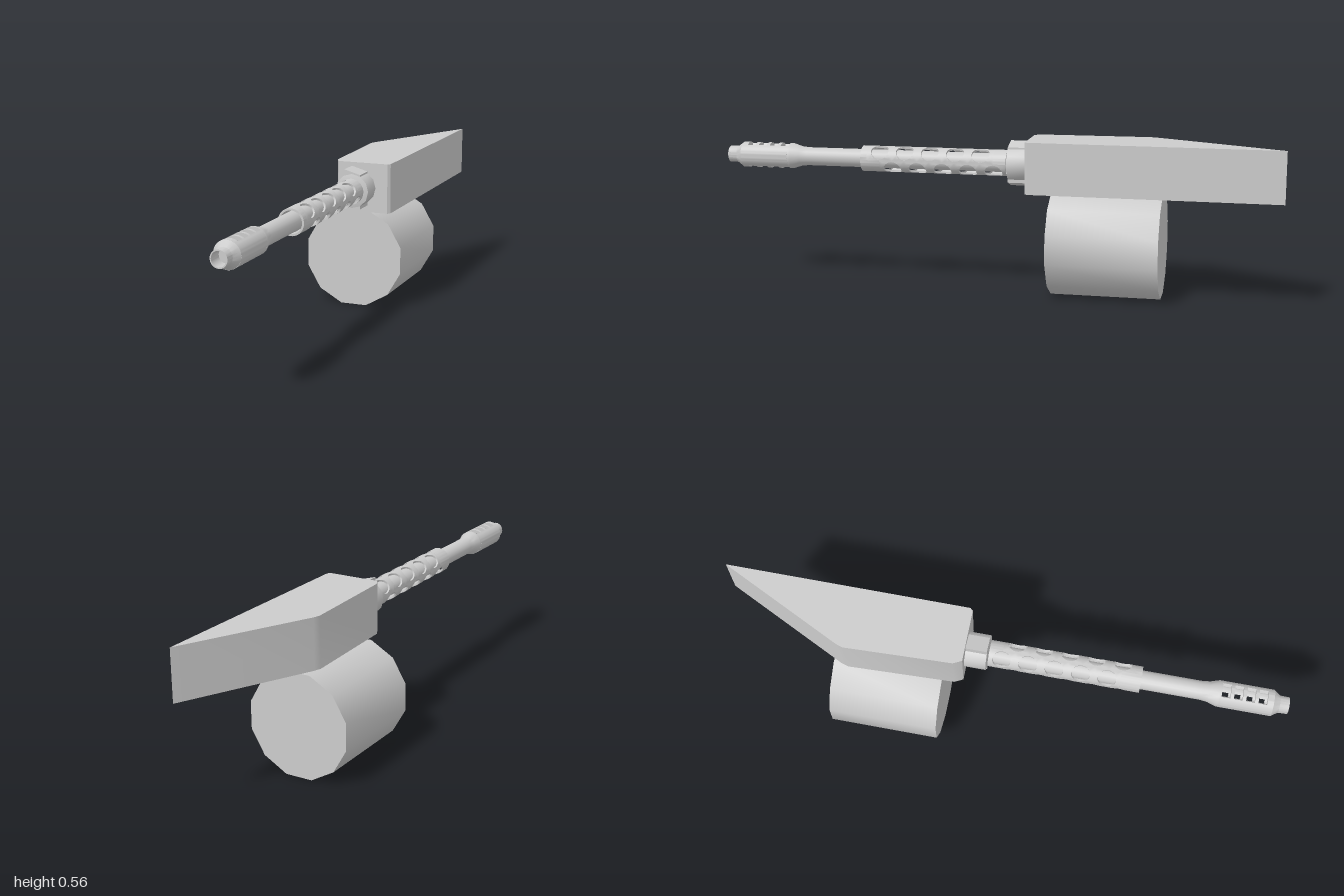
import * as THREE from 'three';
import { mergeGeometries, toCreasedNormals } from 'three/addons/utils/BufferGeometryUtils.js';

const AXIS_X = 0.051, AXIS_Y = 0.475;
const mat = new THREE.MeshStandardMaterial({ color: 0xcccccc, side: THREE.DoubleSide });

function add(parent, name, geometry, crease = 0.6) {
  const mesh = new THREE.Mesh(crease ? toCreasedNormals(geometry, crease) : geometry, mat);
  mesh.name = name;
  parent.add(mesh);
  return mesh;
}

// Solid of revolution along z from [radius, z] pairs
function turned(profile, sides) {
  const g = new THREE.LatheGeometry(profile.map(([r, z]) => new THREE.Vector2(r, z)), sides);
  return g.rotateX(Math.PI / 2);
}

// Piece of pipe wall spanning angles a0..a1 and z0..z1
function pipeSector(rIn, rOut, a0, a1, z0, z1) {
  const s = new THREE.Shape();
  s.absarc(0, 0, rOut, a0, a1, false);
  s.absarc(0, 0, rIn, a1, a0, true);
  s.closePath();
  const g = new THREE.ExtrudeGeometry(s, { depth: z1 - z0, bevelEnabled: false, curveSegments: 8 });
  return g.translate(0, 0, z0);
}

// Quarter-pipe panel with one round hole, wrapped on the shroud
function holedPanel(angle, zMid, pitch, rOut, rIn, holeR) {
  const n = 32, pos = [], index = [];
  const halfW = rOut * Math.PI / 4, halfL = pitch / 2;
  const put = (u, v, r) => {
    const a = angle + u / rOut;
    pos.push(r * Math.cos(a), r * Math.sin(a), zMid + v);
  };
  for (let i = 0; i <= n; i++) {
    const a = (i / n) * Math.PI * 2, c = Math.cos(a), s = Math.sin(a);
    const k = 1 / Math.max(Math.abs(c), Math.abs(s));
    const hu = holeR * c, hv = holeR * s, bu = halfW * k * c, bv = halfL * k * s;
    put(bu, bv, rOut);
    put((hu + bu) / 2, (hv + bv) / 2, rOut);
    put(hu, hv, rOut);
    put(hu, hv, rIn);
  }
  for (let i = 0; i < n; i++) {
    for (let j = 0; j < 3; j++) {
      const p = i * 4 + j, q = p + 4;
      index.push(p, q, p + 1, q, q + 1, p + 1);
    }
  }
  const g = new THREE.BufferGeometry();
  g.setAttribute('position', new THREE.Float32BufferAttribute(pos, 3));
  g.setIndex(index);
  return g.toNonIndexed();
}

export function createModel() {
  const model = new THREE.Group();

  // Wedge-shaped body, drawn from above as [x, z]
  const outline = [[-0.03, -0.12], [0.158, -0.12], [0.167, -0.13], [0.17, -1],
    [-0.05, -0.555], [-0.058, -0.53], [-0.045, -0.15]];
  const body = new THREE.Shape(outline.map(([x, z]) => new THREE.Vector2(x, -z)));
  add(model, 'body', new THREE.ExtrudeGeometry(body, { depth: 0.181, bevelEnabled: false })
    .rotateX(-Math.PI / 2).translate(0, 0.385, 0));

  // Twelve-sided drum below
  add(model, 'drum', new THREE.CylinderGeometry(0.191, 0.191, 0.39, 12)
    .rotateY(Math.PI / 12).rotateX(Math.PI / 2).translate(0, 0.193, -0.39), 0.7);

  const barrel = new THREE.Group();
  barrel.name = 'barrelAssembly';
  barrel.position.set(AXIS_X, AXIS_Y, 0);
  model.add(barrel);

  // Collar and slanted block between body and barrel
  add(barrel, 'collar', turned([[0, -0.13], [0.062, -0.13], [0.062, -0.045], [0.04, -0.04], [0, -0.04]], 12));
  const block = new THREE.Shape([[-0.029, -0.084], [0.031, -0.065], [0.031, 0.06], [-0.029, 0.077]]
    .map(([x, y]) => new THREE.Vector2(x, y)));
  add(barrel, 'mountBlock', new THREE.ExtrudeGeometry(block, { depth: 0.08, bevelEnabled: false })
    .translate(0, 0, -0.125));

  // Perforated shroud: four columns of holes, every other one shifted
  const rOut = 0.046, rIn = 0.039, pitch = 0.092, z0 = -0.04, z1 = 0.49;
  const panels = [], bands = [];
  for (let c = 0; c < 4; c++) {
    const angle = Math.PI / 4 + c * Math.PI / 2;
    const start = c % 2 ? z0 : z0 + pitch / 2;
    const end = start + 5 * pitch;
    for (let i = 0; i < 5; i++) {
      panels.push(holedPanel(angle, start + (i + 0.5) * pitch, pitch, rOut, rIn, 0.032));
    }
    const a0 = angle - Math.PI / 4, a1 = angle + Math.PI / 4;
    if (start > z0) bands.push(pipeSector(rIn, rOut, a0, a1, z0, start));
    bands.push(pipeSector(rIn, rOut, a0, a1, end, z1));
  }
  add(barrel, 'shroud', mergeGeometries(panels));
  add(barrel, 'shroudBands', mergeGeometries(bands));

  // Inner barrel flaring into the muzzle
  add(barrel, 'innerBarrel', turned([[0, -0.04], [0.033, -0.04], [0.033, 0.7], [0.036, 0.725],
    [0.046, 0.757], [0.046, 0.767], [0.034, 0.767], [0, 0.767]], 20));

  // Muzzle: solid side walls with ribs bridging the top and bottom slots
  const slotHalf = 0.58, muzzle = [];
  for (const mid of [0, Math.PI]) {
    const half = Math.PI / 2 - slotHalf;
    muzzle.push(pipeSector(0.033, 0.046, mid - half, mid + half, 0.767, 0.945));
    for (let i = 0; i < 4; i++) {
      const z = 0.797 + i * 0.042, up = mid + Math.PI / 2;
      muzzle.push(pipeSector(0.033, 0.046, up - slotHalf, up + slotHalf, z, i < 3 ? z + 0.012 : 0.945));
    }
  }
  add(barrel, 'muzzleSlots', mergeGeometries(muzzle));
  add(barrel, 'muzzleTip', turned([[0.033, 0.945], [0.046, 0.945], [0.03, 0.968], [0.029, 1],
    [0.025, 1], [0.025, 0.95], [0, 0.95]], 20));

  return model;
}
